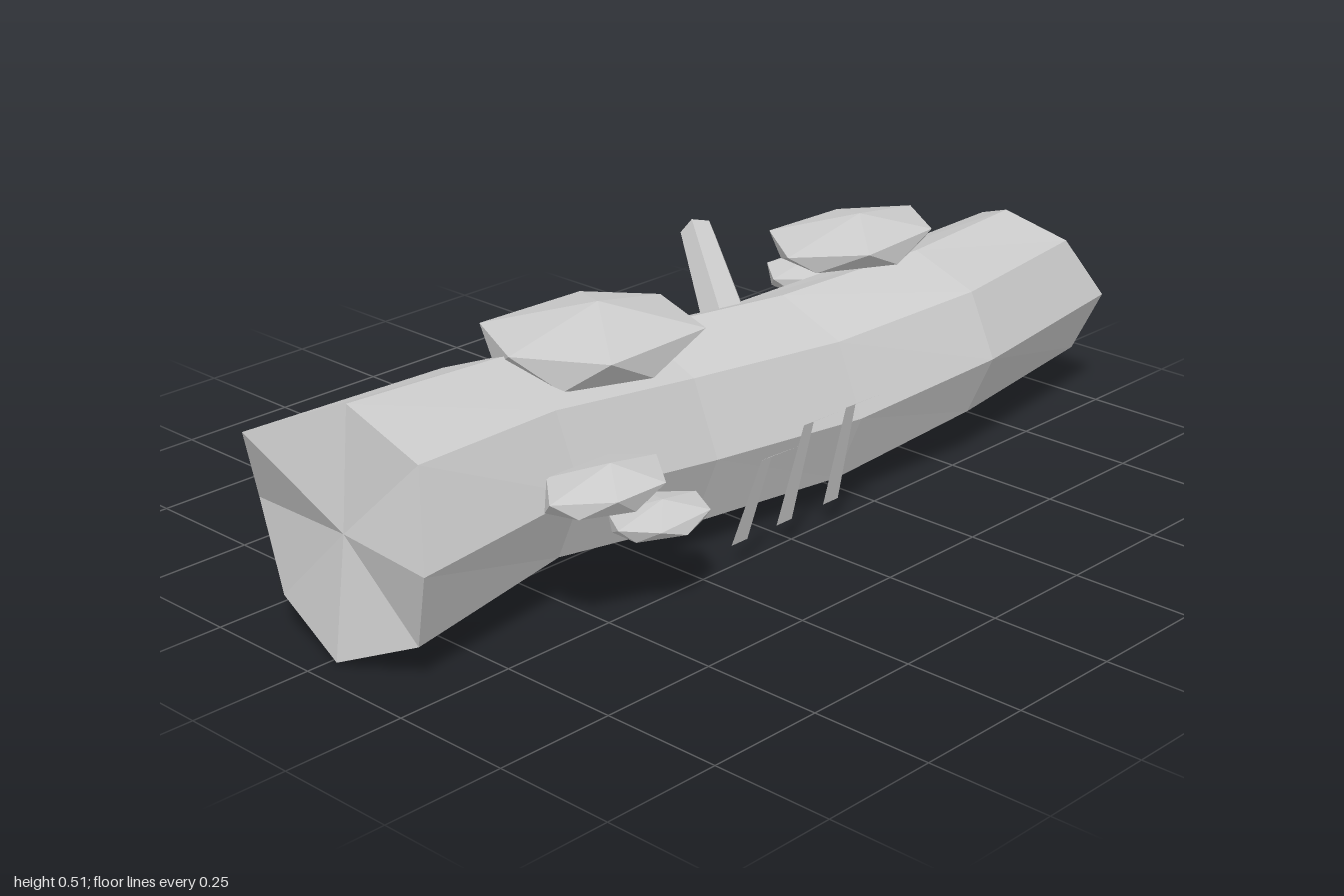
import * as THREE from 'three';
import { ConvexGeometry } from 'three/addons/geometries/ConvexGeometry.js';

const material = new THREE.MeshStandardMaterial({ color: 0xcccccc, flatShading: true });
const thinMaterial = new THREE.MeshStandardMaterial({ color: 0xcccccc, flatShading: true, side: THREE.DoubleSide });

function seeded(seed) {
  return () => {
    seed = (seed * 16807) % 2147483647;
    return seed / 2147483647;
  };
}

function add(group, name, geometry, mat = material) {
  const mesh = new THREE.Mesh(geometry, mat);
  mesh.name = name;
  group.add(mesh);
  return mesh;
}

// Triangles from a list of corner points, three per face
function fromTriangles(points) {
  const geometry = new THREE.BufferGeometry().setFromPoints(points);
  geometry.computeVertexNormals();
  return geometry;
}

// Bent eight-sided trunk with jagged, fan-capped ends
function trunkGeometry() {
  const sides = 8;
  // x, centre y, centre z, radius y, radius z
  const sections = [
    [-0.93, 0.25, 0.02, 0.24, 0.235],
    [-0.53, 0.26, 0, 0.205, 0.215],
    [-0.18, 0.22, 0.013, 0.21, 0.208],
    [0.18, 0.21, 0.06, 0.205, 0.21],
    [0.54, 0.245, 0.105, 0.185, 0.208],
    [0.95, 0.25, 0.075, 0.18, 0.176],
  ];
  // rim x positions, from the top round by the front
  const leftRim = [-0.9, -0.885, -0.94, -0.9, -0.95, -0.93, -0.92, -1.0];
  const rightRim = [0.88, 0.93, 1.0, 0.97, 0.98, 0.93, 0.9, 0.96];
  const last = sections.length - 1;
  const rings = sections.map(([x, cy, cz, ry, rz], i) =>
    Array.from({ length: sides }, (_, k) => {
      const a = (k / sides) * Math.PI * 2;
      const px = i === 0 ? leftRim[k] : i === last ? rightRim[k] : x;
      return new THREE.Vector3(px, cy + ry * Math.cos(a), cz + rz * Math.sin(a));
    }));
  const leftHub = new THREE.Vector3(-0.92, 0.25, 0.02);
  const rightHub = new THREE.Vector3(0.92, 0.285, 0.075);
  const tris = [];
  for (let k = 0; k < sides; k++) {
    const n = (k + 1) % sides;
    for (let i = 0; i < last; i++) {
      const [a, b, c, d] = [rings[i][k], rings[i][n], rings[i + 1][n], rings[i + 1][k]];
      tris.push(a, b, c, a, c, d);
    }
    tris.push(rightHub, rings[last][k], rings[last][n]);
    tris.push(leftHub, rings[0][n], rings[0][k]);
  }
  return fromTriangles(tris);
}

// Flattened faceted clump: two staggered rings between a top and a bottom point
function clumpGeometry(rx, rz, height, seed) {
  const random = seeded(seed);
  const points = [
    new THREE.Vector3(rx * 0.1, height, 0),
    new THREE.Vector3(0, 0, 0),
  ];
  for (const [y, scale, offset] of [[0.62, 1, 0], [0.15, 0.85, 0.5]]) {
    for (let k = 0; k < 6; k++) {
      const a = ((k + offset + (random() - 0.5) * 0.3) / 6) * Math.PI * 2;
      const r = scale * (0.95 + random() * 0.1);
      points.push(new THREE.Vector3(
        Math.cos(a) * rx * r, height * (y + (random() - 0.5) * 0.1), Math.sin(a) * rz * r));
    }
  }
  return new ConvexGeometry(points);
}

// Bark strip that stands off the trunk and curls outward to a point
function splinterGeometry(x, lean, tipY) {
  const v = (px, y, z) => new THREE.Vector3(px, y, z);
  const bend = x + lean;
  const a = v(x - 0.022, 0.055, 0.26), b = v(x + 0.022, 0.055, 0.26);
  const c = v(bend + 0.014, tipY - 0.05, 0.322), d = v(bend - 0.014, tipY - 0.05, 0.322);
  const tip = v(bend + lean * 0.3, tipY, 0.405);
  return fromTriangles([a, b, c, a, c, d, d, c, tip]);
}

export function createModel() {
  const group = new THREE.Group();
  group.name = 'fallenLog';

  add(group, 'trunk', trunkGeometry());

  // Broken branch stub at the back
  const start = new THREE.Vector3(0.14, 0.325, -0.05);
  const end = new THREE.Vector3(0.405, 0.385, -0.385);
  const along = end.clone().sub(start);
  const branch = add(group, 'branch', new THREE.CylinderGeometry(0.038, 0.05, along.length(), 6));
  branch.position.copy(start).lerp(end, 0.5);
  branch.quaternion.setFromUnitVectors(new THREE.Vector3(0, 1, 0), along.normalize());

  // Moss clumps: name, x, base y, z, radius x, radius z, height, seed
  const clumps = [
    ['largeTopMoss', -0.31, 0.4, 0.015, 0.225, 0.2, 0.115, 11],
    ['smallTopMoss', 0.46, 0.415, 0, 0.215, 0.14, 0.085, 27],
    ['backMoss', 0.565, 0.28, -0.175, 0.145, 0.1, 0.08, 35],
    ['frontUpperMoss', -0.535, 0.265, 0.28, 0.145, 0.093, 0.073, 43],
    ['frontLowerMoss', -0.395, 0.167, 0.275, 0.112, 0.085, 0.055, 59],
  ];
  for (const [name, x, y, z, rx, rz, height, seed] of clumps) {
    add(group, name, clumpGeometry(rx, rz, height, seed)).position.set(x, y, z);
  }

  // Row of bark splinters on the front
  for (const [x, lean, tipY] of [[-0.16, 0.006, 0.295], [-0.033, -0.003, 0.33], [0.103, -0.018, 0.33]]) {
    add(group, 'barkSplinter', splinterGeometry(x, lean, tipY), thinMaterial);
  }
  return group;
}
